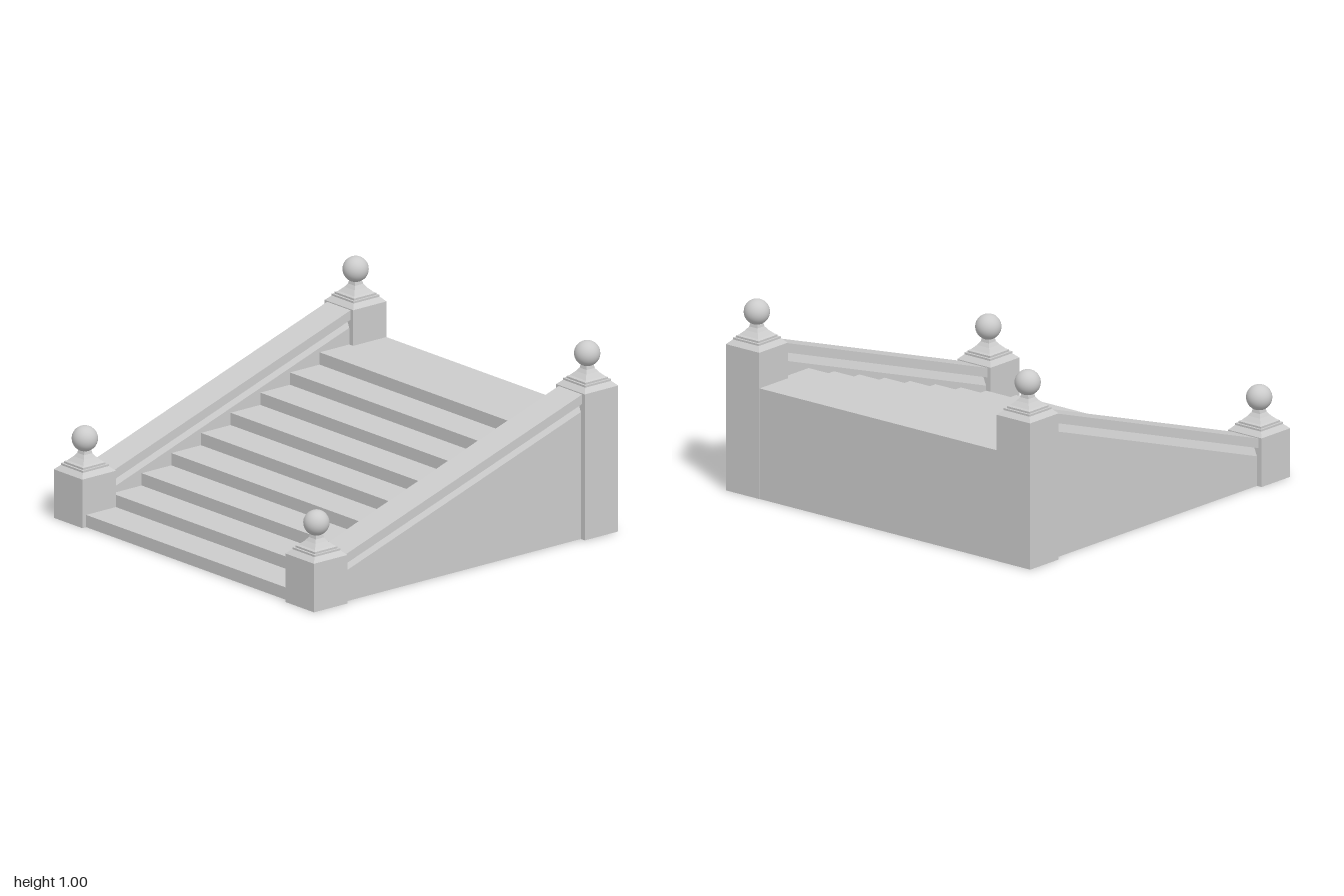
import * as THREE from 'three';

const material = new THREE.MeshStandardMaterial({ color: 0xcccccc, side: THREE.DoubleSide });

// Flat-shaded ribbon of quads between two matching lines of points
function ribbon(a, b) {
  const positions = [];
  for (let i = 0; i < a.length - 1; i++) {
    for (const p of [a[i], b[i], b[i + 1], a[i], b[i + 1], a[i + 1]]) positions.push(...p);
  }
  const geometry = new THREE.BufferGeometry();
  geometry.setAttribute('position', new THREE.Float32BufferAttribute(positions, 3));
  geometry.computeVertexNormals();
  return geometry;
}

function addMesh(parent, geometry, name) {
  const mesh = new THREE.Mesh(geometry, material);
  mesh.name = name;
  parent.add(mesh);
  return mesh;
}

const POST = 0.89;      // post centre on x and z
const HALF = 0.11;      // post half width
const INNER = POST - HALF;
const LOW = 0.255;      // front post body height
const HIGH = 0.767;     // back post body height
const STEPS = 9;
const RISE = 0.58 / STEPS;
const RUN = 0.195;
const FRONT = 0.975;

// Square post, open underneath, with a stepped cap and ball finial
function createPost(name, height) {
  const post = new THREE.Group();
  post.name = name;
  const profile = [
    [0.11, -height], [0.11, 0], [0.085, 0.024], [0.085, 0.034], [0.074, 0.034],
    [0.074, 0.044], [0.062, 0.05], [0.04, 0.072], [0.027, 0.09], [0.022, 0.112], [0, 0.112],
  ].map(([r, y]) => new THREE.Vector2(r * Math.SQRT2, y + height));
  const body = new THREE.LatheGeometry(profile, 4, Math.PI / 4).toNonIndexed();
  body.computeVertexNormals();
  addMesh(post, body, 'postBody');
  addMesh(post, new THREE.SphereGeometry(0.066, 32, 20), 'ballFinial').position.y = height + 0.167;
  return post;
}

// Hollow side wall with chamfered shoulders and an overhanging sloped rail
function createSideWall(name) {
  const profile = [
    [-0.08, null], [-0.08, -0.095], [-0.06, -0.05], [-0.09, -0.05], [-0.09, 0],
    [0.09, 0], [0.09, -0.05], [0.06, -0.05], [0.08, -0.095], [0.08, null],
  ];
  const section = (top, z) => profile.map(([x, dy]) => [x, dy === null ? 0 : top + dy, z]);
  const wall = new THREE.Group();
  wall.name = name;
  addMesh(wall, ribbon(section(0.762, -INNER), section(0.25, INNER)), 'wallAndRail');
  return wall;
}

// Ribbon spanning the stair width along a [y, z] path
function acrossStair(path, half) {
  return ribbon(path.map(([y, z]) => [-half, y, z]), path.map(([y, z]) => [half, y, z]));
}

export function createModel() {
  const model = new THREE.Group();
  model.name = 'staircase';

  // Risers and treads, open from below
  const path = [[0, FRONT]];
  for (let i = 0; i < STEPS; i++) {
    const y = (i + 1) * RISE;
    path.push([y, FRONT - i * RUN], [y, FRONT - (i + 1) * RUN]);
  }
  addMesh(model, acrossStair(path, 0.81), 'steps');

  // Hollow landing block at the top of the flight
  const top = STEPS * RISE;
  addMesh(model, acrossStair([[0, -INNER], [top, -INNER], [top, -0.998], [0, -0.998]], 0.81), 'landing');

  // Matching walls and posts on both sides
  for (const [side, s] of [['left', 1], ['right', -1]]) {
    const wall = createSideWall(side + 'Wall');
    wall.position.x = s * POST;
    const front = createPost(side + 'FrontPost', LOW);
    front.position.set(s * POST, 0, POST);
    const back = createPost(side + 'BackPost', HIGH);
    back.position.set(s * POST, 0, -POST);
    model.add(wall, front, back);
  }
  return model;
}
